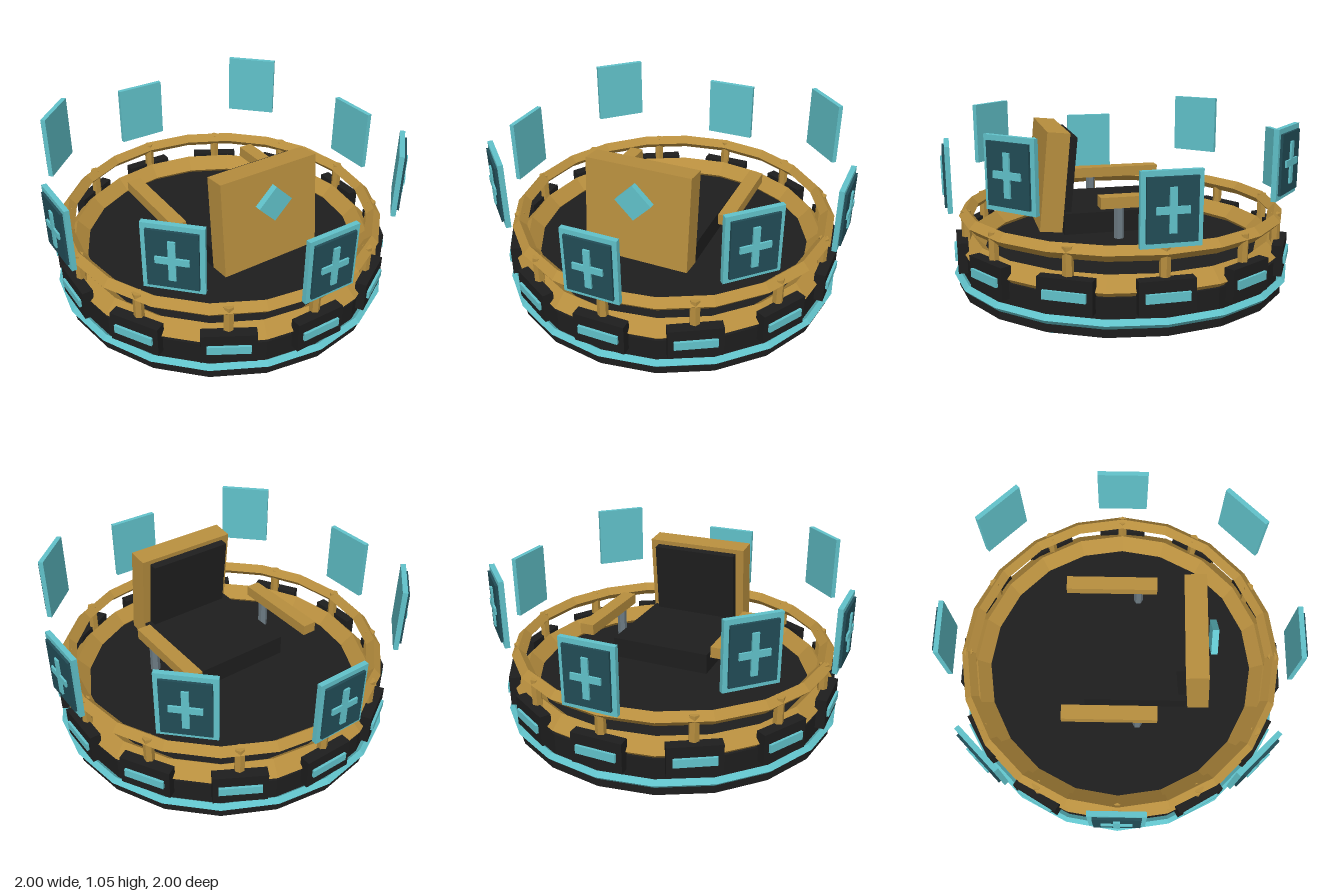
import * as THREE from 'three';

const mat = (name, color) => {
  const m = new THREE.MeshStandardMaterial({ color, flatShading: true });
  m.name = name;
  return m;
};

export function createModel() {
  const gold = mat('gold', 0xb78e3e);
  const black = mat('black', 0x1e1e1e);
  const teal = mat('teal', 0x61c2ca);
  const darkTeal = mat('dark teal', 0x214c56);
  const grey = mat('grey', 0x6c7a82);

  const model = new THREE.Group();
  model.name = 'hoverThrone';

  const add = (parent, name, geometry, material, x = 0, y = 0, z = 0) => {
    const mesh = new THREE.Mesh(geometry, material);
    mesh.name = name;
    mesh.position.set(x, y, z);
    parent.add(mesh);
    return mesh;
  };
  const box = (parent, name, size, material, x, y, z) =>
    add(parent, name, new THREE.BoxGeometry(...size), material, x, y, z);
  const drum = (parent, name, r, y0, y1, sides, material, x = 0, z = 0) =>
    add(parent, name, new THREE.CylinderGeometry(r, r, y1 - y0, sides), material, x, (y0 + y1) / 2, z);
  // Ring with a diamond cross-section
  const ring = (name, radius, tube, y, material) => {
    const mesh = add(model, name, new THREE.TorusGeometry(radius, tube, 4, 20), material, 0, y, 0);
    mesh.rotation.x = -Math.PI / 2;
  };
  // Groups turned around the vertical axis, each facing outward along its own +z
  const around = (name, count, build) => {
    for (let i = 0; i < count; i++) {
      const g = new THREE.Group();
      g.name = name;
      g.rotation.y = (i / count) * Math.PI * 2;
      build(g, i);
      model.add(g);
    }
  };

  // Round platform with its glowing band
  drum(model, 'platformBase', 0.935, 0.11, 0.18, 20, black);
  drum(model, 'platformDeck', 0.91, 0.18, 0.3, 20, black);
  ring('glowBand', 0.935, 0.025, 0.178, teal);
  ring('deckRing', 0.85, 0.07, 0.325, gold);
  ring('handRail', 0.88, 0.04, 0.508, gold);

  // Armour blocks with lights, and the rail posts
  around('railSection', 12, (g) => {
    box(g, 'armourBlock', [0.28, 0.17, 0.06], black, 0, 0.305, 0.908);
    box(g, 'blockLight', [0.22, 0.046, 0.03], teal, 0, 0.307, 0.937);
    drum(g, 'railPost', 0.028, 0.33, 0.535, 6, gold, 0, 0.88);
  });

  // Floating shield panels, alternately low and high
  around('shieldPanel', 8, (g, i) => {
    const y = i % 2 ? 0.87 : 0.74;
    box(g, 'panelPlate', [0.295, 0.357, 0.027], teal, 0, y, 0.963);
    box(g, 'panelFace', [0.245, 0.305, 0.014], darkTeal, 0, y, 0.983);
    box(g, 'crossUpright', [0.035, 0.212, 0.01], teal, 0, y, 0.995);
    box(g, 'crossBar', [0.16, 0.035, 0.01], teal, 0, y, 0.995);
  });

  // Thruster feet
  for (const x of [-0.437, 0.437]) for (const z of [-0.437, 0.437]) {
    drum(model, 'thruster', 0.126, 0.025, 0.11, 12, grey, x, z);
    drum(model, 'thrusterGlow', 0.112, 0, 0.025, 12, teal, x, z);
  }

  // Chair
  const chair = new THREE.Group();
  chair.name = 'chair';
  model.add(chair);
  box(chair, 'seat', [0.565, 0.115, 0.575], black, 0, 0.5, 0.09);

  const back = new THREE.Group();
  back.name = 'backrest';
  back.position.set(0, 0.73, 0.424);
  back.rotation.x = -0.1;
  chair.add(back);
  box(back, 'backFrame', [0.585, 0.53, 0.12], gold, 0, 0, 0);
  box(back, 'backCushion', [0.49, 0.44, 0.05], black, 0, 0.02, -0.083);

  const gem = box(chair, 'backDiamond', [0.143, 0.143, 0.035], teal, 0, 0.828, 0.506);
  gem.rotation.z = Math.PI / 4;

  for (const s of [-1, 1]) {
    box(chair, 'armrest', [0.08, 0.06, 0.525], gold, s * 0.387, 0.64, -0.053);
    drum(chair, 'armrestPost', 0.027, 0.44, 0.615, 6, grey, s * 0.387, 0.104);
  }
  return model;
}
